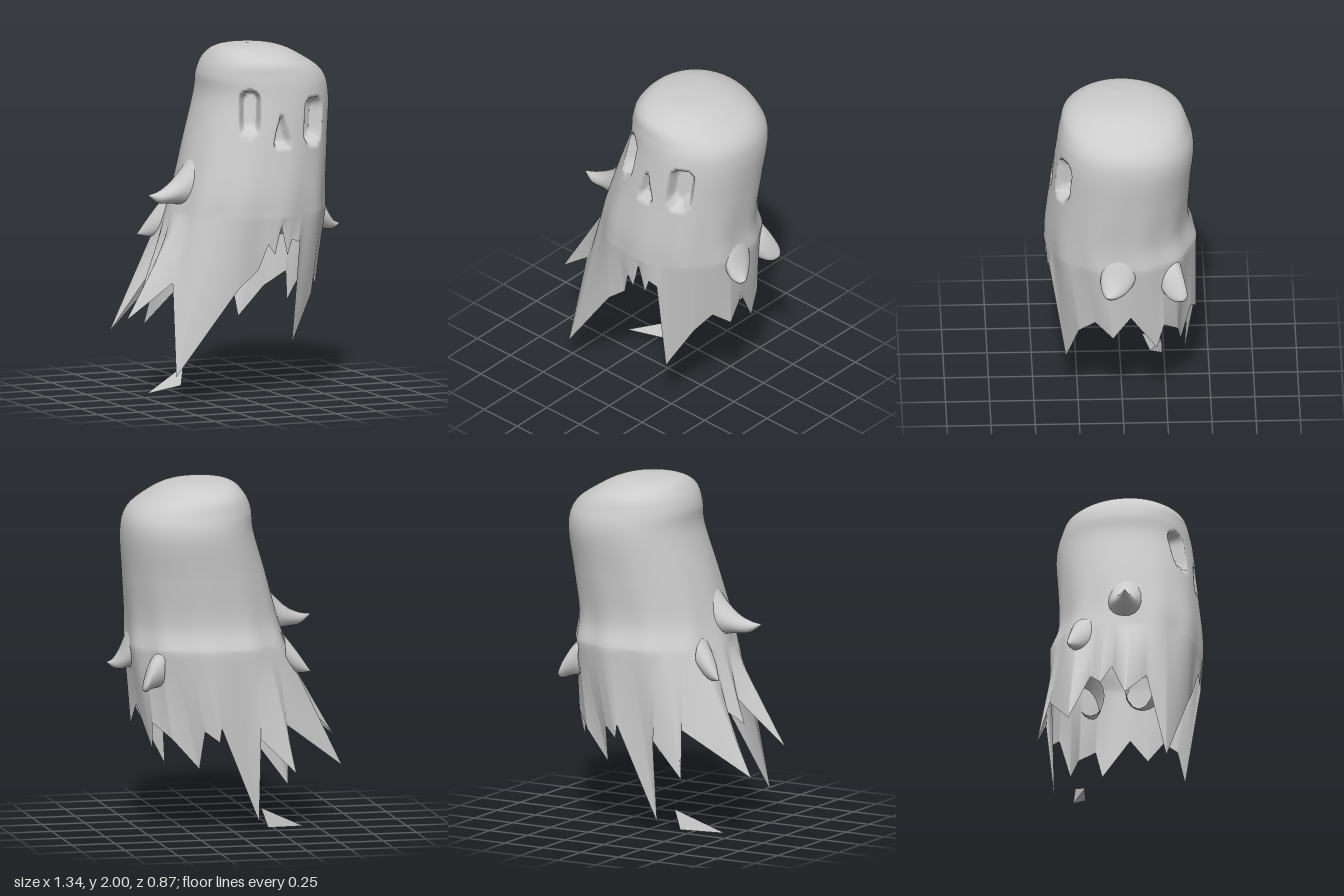
import * as THREE from 'three';

const { lerp, smoothstep, degToRad } = THREE.MathUtils;
const COLS = 360, BODY_ROWS = 64, HEM_ROWS = 16;

// Body levels: y, centre x, radius x, centre z, radius z
const LEVELS = [
  [2.0, 0.12, 0, 0.03, 0], [1.98, 0.14, 0.17, 0.01, 0.19], [1.92, 0.17, 0.27, 0, 0.32],
  [1.83, 0.21, 0.35, -0.01, 0.365], [1.7, 0.222, 0.375, -0.015, 0.39], [1.45, 0.175, 0.405, 0.01, 0.395],
  [1.2, 0.13, 0.43, 0.03, 0.405], [1.05, 0.11, 0.455, 0.01, 0.43],
];

// Torn hem, tips and notches: angle (0 = front, 90 = left), x, y, z
const HEM = [
  [-12, 0.03, 0.75, 0.40], [-3, 0.08, 0.90, 0.43], [3, 0.12, 0.84, 0.43], [8, 0.16, 1.0, 0.43],
  [14, 0.20, 0.83, 0.42], [18, 0.23, 0.92, 0.42], [23, 0.28, 0.90, 0.41], [30, 0.27, 0.31, 0.32],
  [48, 0.42, 0.58, 0.25], [62, 0.48, 0.67, 0.16], [80, 0.53, 0.59, 0.06], [95, 0.52, 0.72, -0.04],
  [108, 0.46, 0.48, -0.19], [120, 0.47, 0.64, -0.23], [135, 0.37, 0.55, -0.31], [145, 0.22, 0.38, -0.33],
  [158, 0.20, 0.60, -0.39], [168, 0.12, 0.54, -0.42], [175, 0.11, 0.62, -0.42], [190, -0.12, 0.07, -0.36],
  [208, -0.12, 0.55, -0.41], [218, -0.32, 0.35, -0.43], [228, -0.28, 0.62, -0.36], [243, -0.64, 0.35, -0.19],
  [258, -0.42, 0.70, -0.10], [266, -0.50, 0.62, -0.03], [272, -0.42, 0.75, 0.02], [282, -0.67, 0.47, 0.14],
  [295, -0.42, 0.68, 0.22], [312, -0.45, 0.16, 0.34], [337, -0.09, 0.65, 0.40], [348, 0.03, 0.75, 0.40],
];

const xCurve = new THREE.CatmullRomCurve3(LEVELS.map(([y, c, r]) => new THREE.Vector3(c, y, r)), false, 'catmullrom');
const zCurve = new THREE.CatmullRomCurve3(LEVELS.map(([y, , , c, r]) => new THREE.Vector3(c, y, r)), false, 'catmullrom');

const makeMaterial = () => new THREE.MeshStandardMaterial({ color: 0xcccccc, side: THREE.DoubleSide });

// Grid of points (rows from top to bottom) closed around each row
function loft(rows, name) {
  const n = rows[0].length, index = [];
  for (let i = 0; i < rows.length - 1; i++) {
    for (let j = 0; j < n; j++) {
      const a = i * n + j, b = i * n + (j + 1) % n;
      index.push(a, a + n, b + n, a, b + n, b);
    }
  }
  const geo = new THREE.BufferGeometry().setFromPoints(rows.flat());
  geo.setIndex(index);
  geo.computeVertexNormals();
  const mesh = new THREE.Mesh(geo, makeMaterial());
  mesh.name = name;
  return mesh;
}

// Depth of the eye sockets and the nose at a point on the face
function faceDepth(x, y) {
  const socket = (cx, cy, halfHeight, w) => {
    const dy = y - cy, dx = x - cx - dy * 0.08;
    const d = Math.hypot(dx, Math.max(0, Math.abs(dy) - halfHeight + w));
    return 0.085 * (1 - smoothstep(d, w * 0.68, w * 1.05));
  };
  const halfNose = lerp(0.06, 0.012, (y - 1.46) / 0.14);
  const nose = y > 1.455 && y < 1.6 ? 0.05 * (1 - smoothstep(Math.abs(x - 0.18), halfNose * 0.6, halfNose)) : 0;
  return Math.max(socket(0.01, 1.645, 0.12, 0.053), socket(0.395, 1.58, 0.13, 0.068), nose);
}

function bodyPoint(angle, t) {
  const a = xCurve.getPoint(t), b = zCurve.getPoint(t);
  const s = Math.sin(angle), c = Math.cos(angle), power = 0.93;
  const fold = 1 + 0.012 * smoothstep(t, 0.6, 1) * Math.sin(angle * 11);
  const p = new THREE.Vector3(
    a.x + a.z * fold * Math.sign(s) * Math.abs(s) ** power, a.y,
    b.x + b.z * fold * Math.sign(c) * Math.abs(c) ** power);
  const depth = c > 0.3 ? faceDepth(p.x, p.y) : 0;
  return p.add(new THREE.Vector3(-s * depth * 0.7, 0, -c * depth));
}

function hemPoint(deg) {
  const d = deg >= 348 ? deg - 360 : deg;
  const k = HEM.findIndex((h, i) => i > 0 && d <= h[0]);
  const [p, q] = [HEM[k - 1], HEM[k]], f = (d - p[0]) / (q[0] - p[0]);
  return new THREE.Vector3(lerp(p[1], q[1], f), lerp(p[2], q[2], f), lerp(p[3], q[3], f));
}

// Sheet: domed body, then straight falls of cloth to the torn hem
function makeSheet() {
  const rows = [];
  for (let i = 0; i <= BODY_ROWS + HEM_ROWS; i++) {
    const row = [];
    for (let deg = 0; deg < COLS; deg++) {
      const p = bodyPoint(degToRad(deg), Math.min(1, i / BODY_ROWS));
      row.push(i > BODY_ROWS ? p.lerp(hemPoint(deg), (i - BODY_ROWS) / HEM_ROWS) : p);
    }
    rows.push(row);
  }
  return loft(rows, 'sheet');
}

// Tapered limb; each station is x, y, z, half height, half depth
function makeLimb(stations, name) {
  const side = Math.sign(stations.at(-1)[0] - stations[0][0]);
  const path = new THREE.CatmullRomCurve3(stations.map(([x, y, z]) => new THREE.Vector3(x, y, z)), false, 'catmullrom');
  const size = new THREE.CatmullRomCurve3(stations.map(([, , , h, d]) => new THREE.Vector3(0, h, d)), false, 'catmullrom');
  const rows = [];
  for (let i = 0; i <= 14; i++) {
    const p = path.getPoint(i / 14), r = size.getPoint(i / 14), row = [];
    for (let j = 0; j < 16; j++) {
      const a = -side * j / 16 * Math.PI * 2;
      row.push(new THREE.Vector3(p.x, p.y + r.y * Math.cos(a), p.z - r.z * Math.sin(a)));
    }
    rows.push(row);
  }
  return loft(rows, name);
}

// Loose sliver of cloth
function makeScrap() {
  const v = [[-0.43, 0, -0.13], [-0.2, 0.015, -0.24], [-0.16, 0.13, -0.235], [-0.2, 0.03, -0.17]];
  const geo = new THREE.BufferGeometry();
  geo.setAttribute('position', new THREE.Float32BufferAttribute(v.flat(), 3));
  geo.setIndex([0, 2, 1, 0, 3, 2, 0, 1, 3, 1, 2, 3]);
  const flat = geo.toNonIndexed();
  flat.computeVertexNormals();
  const mesh = new THREE.Mesh(flat, makeMaterial());
  mesh.name = 'clothScrap';
  return mesh;
}

export function createModel() {
  const group = new THREE.Group();
  group.name = 'ghost';
  group.add(
    makeSheet(),
    makeLimb([[-0.2, 1.25, 0.06, 0.18, 0.12], [-0.3, 1.2, 0.07, 0.10, 0.09], [-0.38, 1.17, 0.08, 0.055, 0.07],
      [-0.46, 1.155, 0.1, 0.032, 0.04], [-0.53, 1.175, 0.115, 0, 0]], 'rightArm'),
    makeLimb([[0.48, 1.1, 0.02, 0.2, 0.09], [0.55, 1.03, 0.03, 0.11, 0.10], [0.59, 0.97, 0.05, 0.06, 0.08],
      [0.63, 0.94, 0.07, 0.025, 0.04], [0.665, 0.945, 0.09, 0, 0]], 'leftArm'),
    makeLimb([[0.42, 0.97, -0.25, 0.12, 0.08], [0.49, 0.92, -0.28, 0.08, 0.07], [0.53, 0.87, -0.31, 0.04, 0.05],
      [0.55, 0.85, -0.33, 0, 0]], 'backFlap'),
    makeLimb([[-0.3, 1.02, -0.16, 0.1, 0.08], [-0.38, 0.95, -0.19, 0.06, 0.05], [-0.45, 0.9, -0.23, 0, 0]], 'sideTear'),
    makeScrap(),
  );
  return group;
}
